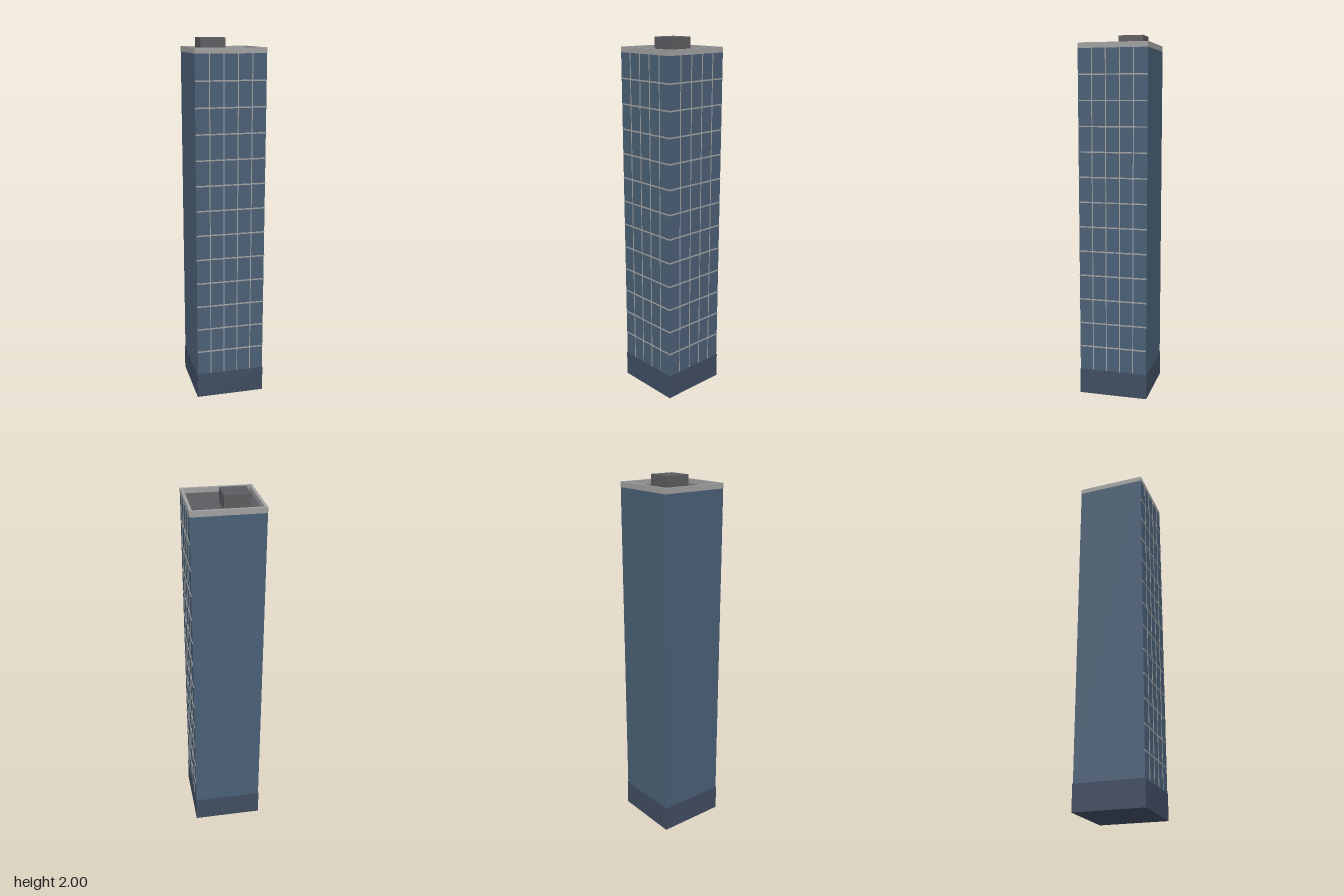
import * as THREE from 'three';

const FLOOR = 0.137, BASE_H = 0.143, FLOORS = 13, BAYS = 5;
const TOP = BASE_H + FLOOR * FLOORS; // roof level
const W = 0.381;                     // tower width
const C = -0.001;                    // tower axis, balancing the facade grid

const mat = (color) => new THREE.MeshStandardMaterial({ color, flatShading: true });
const glass = mat(0x4a5f75), stone = mat(0x3f4c60), metal = mat(0xa0a0a0), dark = mat(0x5c5c60);

function box(name, w, h, d, x, y, z, material) {
  const mesh = new THREE.Mesh(new THREE.BoxGeometry(w, h, d), material);
  mesh.name = name;
  mesh.position.set(x, y, z);
  return mesh;
}

// Grid of floor bands and mullions, built facing +z
function facadeGrid(name) {
  const grid = new THREE.Group();
  grid.name = name;
  for (let i = 1; i < FLOORS; i++) {
    grid.add(box('floorBand', W, 0.007, 0.006, 0, BASE_H + i * FLOOR, W / 2, metal));
  }
  for (let i = 1; i < BAYS; i++) {
    const x = -W / 2 + (i * W) / BAYS;
    grid.add(box('mullion', 0.005, TOP - BASE_H, 0.004, x, (TOP + BASE_H) / 2, W / 2, metal));
  }
  return grid;
}

// Square ring around the roof edge
function parapet() {
  const square = (shape, s) =>
    shape.moveTo(-s, -s).lineTo(s, -s).lineTo(s, s).lineTo(-s, s).closePath();
  const ring = square(new THREE.Shape(), W / 2 + 0.0005);
  ring.holes.push(square(new THREE.Path(), W / 2 - 0.015));
  const geo = new THREE.ExtrudeGeometry(ring, { depth: 0.029, bevelEnabled: false });
  geo.rotateX(-Math.PI / 2);
  const mesh = new THREE.Mesh(geo, metal);
  mesh.name = 'parapet';
  mesh.position.y = TOP - 0.001;
  return mesh;
}

export function createModel() {
  const model = new THREE.Group();
  model.name = 'officeTower';

  // Plinth and shaft
  model.add(box('base', 0.386, BASE_H, 0.386, 0, BASE_H / 2, 0, stone));
  model.add(box('shaft', W, TOP - BASE_H, W, 0, (TOP + BASE_H) / 2, 0, glass));

  // Gridded facades on the front and the left side only
  const front = facadeGrid('frontGrid');
  const side = facadeGrid('leftGrid');
  side.rotation.y = Math.PI / 2;
  model.add(front, side);

  // Roof deck, edge and plant room
  model.add(box('roofDeck', W - 0.028, 0.004, W - 0.028, 0, TOP, 0, dark));
  model.add(parapet());
  model.add(box('plantRoom', 0.137, 2 - TOP, 0.137, -0.0545, (2 + TOP) / 2, -0.0555, dark));

  for (const part of model.children) {
    part.position.x += C;
    part.position.z += C;
  }
  return model;
}
